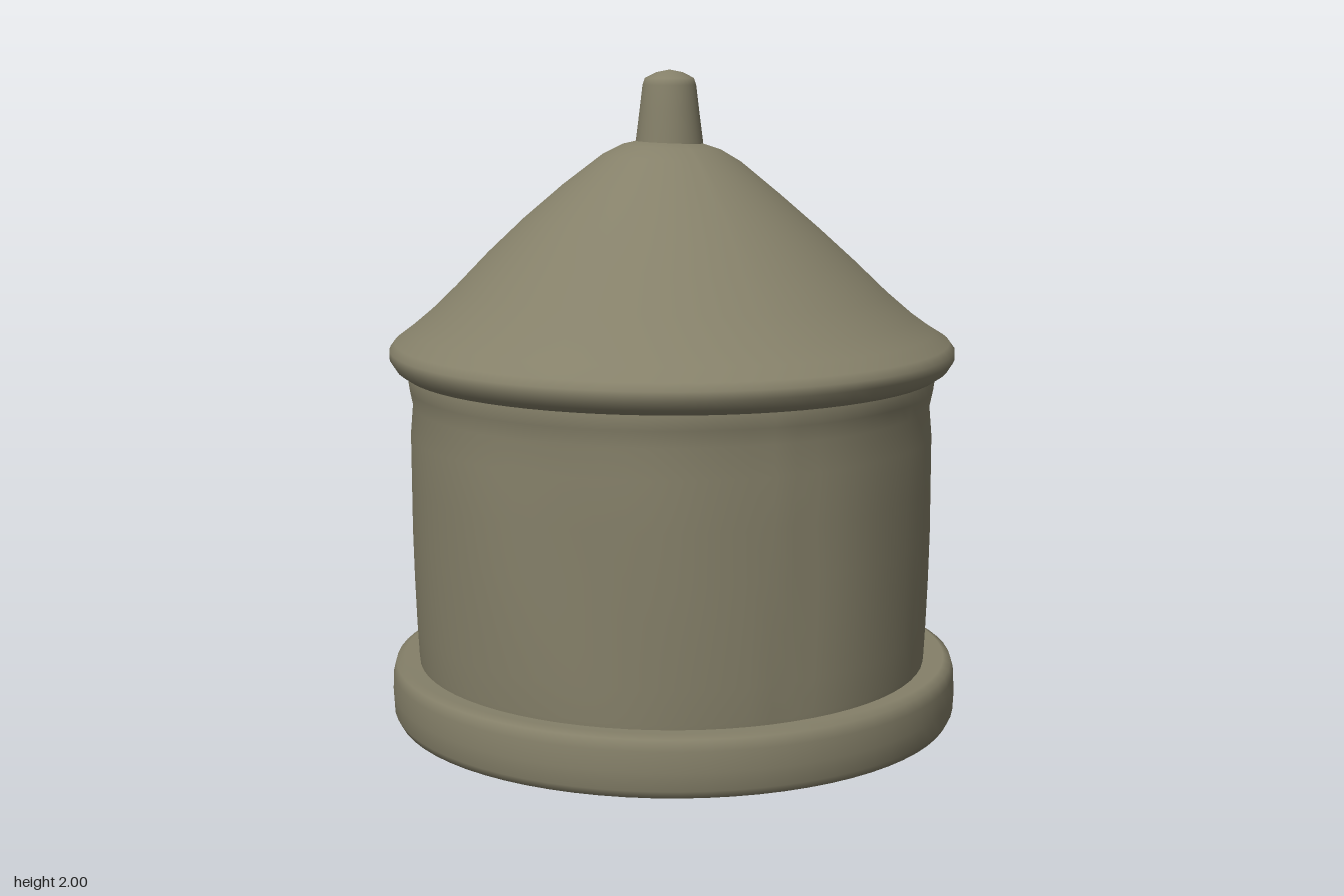
import * as THREE from 'three';

// Lathe with a closed profile, written from bottom to top as [radius, y]
function turned(name, profile, material, segments = 72) {
  const points = profile.map(([r, y]) => new THREE.Vector2(r, y));
  const mesh = new THREE.Mesh(new THREE.LatheGeometry(points, segments), material);
  mesh.name = name;
  return mesh;
}

// Moves each vertex by a rule and refreshes the normals
function reshape(mesh, rule) {
  const pos = mesh.geometry.attributes.position;
  const normal = mesh.geometry.attributes.normal;
  const v = new THREE.Vector3();
  const before = normal.clone();
  for (let i = 0; i < pos.count; i++) {
    rule(v.fromBufferAttribute(pos, i));
    pos.setXYZ(i, v.x, v.y, v.z);
  }
  mesh.geometry.computeVertexNormals();
  // Keep the lathe seam smooth
  const n = mesh.geometry.parameters.points.length;
  for (let i = 0; i < n; i++) {
    for (const j of [i, pos.count - n + i]) normal.setXYZ(j, before.getX(i), before.getY(i), before.getZ(i));
  }
  return mesh;
}

export function createModel() {
  const model = new THREE.Group();
  const clay = new THREE.MeshStandardMaterial({ color: 0x858069 });
  clay.name = 'weathered clay';

  // Rounded plinth
  const plinth = turned('plinth', [
    [0, 0.008], [0.84, 0.005], [0.865, 0.012], [0.877, 0.035], [0.88, 0.09],
    [0.877, 0.15], [0.868, 0.182], [0.845, 0.193], [0.76, 0.18], [0, 0.18],
  ], clay);
  model.add(plinth);

  // Round wall with soft dents around the front
  const rows = [[0.785, 0.16], [0.79, 0.2], [0.795, 0.3], [0.8, 0.45], [0.803, 0.6], [0.803, 0.75],
    [0.803, 0.9], [0.795, 0.99], [0.805, 1.04], [0.81, 1.08], [0.8, 1.13]];
  const wall = reshape(turned('wall', rows, clay), (v) => {
    const a = Math.atan2(v.x, v.z);
    const front = Math.max(0, Math.cos(a));
    const fade = Math.sin(Math.PI * THREE.MathUtils.clamp((v.y - 0.16) / 0.97, 0, 1));
    const crease = a > 0 ? 0.018 * Math.exp(-a * 4) : 0;
    const k = 1 - fade * front * (0.008 + 0.008 * Math.sin(a * 9 + v.y * 3)) - crease * fade;
    v.x = v.x * k - 0.007;
    v.z *= k;
  });
  model.add(wall);

  // Conical roof with a flat underside and a rolled eave
  const roof = reshape(turned('roof', [
    [0, 1.09], [0.78, 1.085], [0.82, 1.088], [0.845, 1.105], [0.864, 1.135], [0.864, 1.16],
    [0.848, 1.182], [0.8, 1.215], [0.74, 1.262], [0.66, 1.335], [0.56, 1.435], [0.45, 1.537],
    [0.33, 1.64], [0.21, 1.735], [0.15, 1.768], [0.09, 1.785], [0, 1.79],
  ], clay), (v) => {
    // The left and right slopes differ slightly
    const r = Math.hypot(v.x, v.z);
    if (v.y > 1.2 && r > 0.01) v.y -= 0.018 * (v.x / r) * Math.sin(Math.PI * Math.min(1, r / 0.85));
    v.x -= 0.006;
    v.z *= 1.008;
  });
  model.add(roof);

  // Tapered finial with a shallow cap
  const finial = turned('finial', [
    [0.105, 1.74], [0.102, 1.785], [0.09, 1.88], [0.081, 1.955], [0.074, 1.975],
    [0.04, 1.992], [0, 2],
  ], clay, 32);
  finial.position.x = -0.014;
  model.add(finial);

  return model;
}
